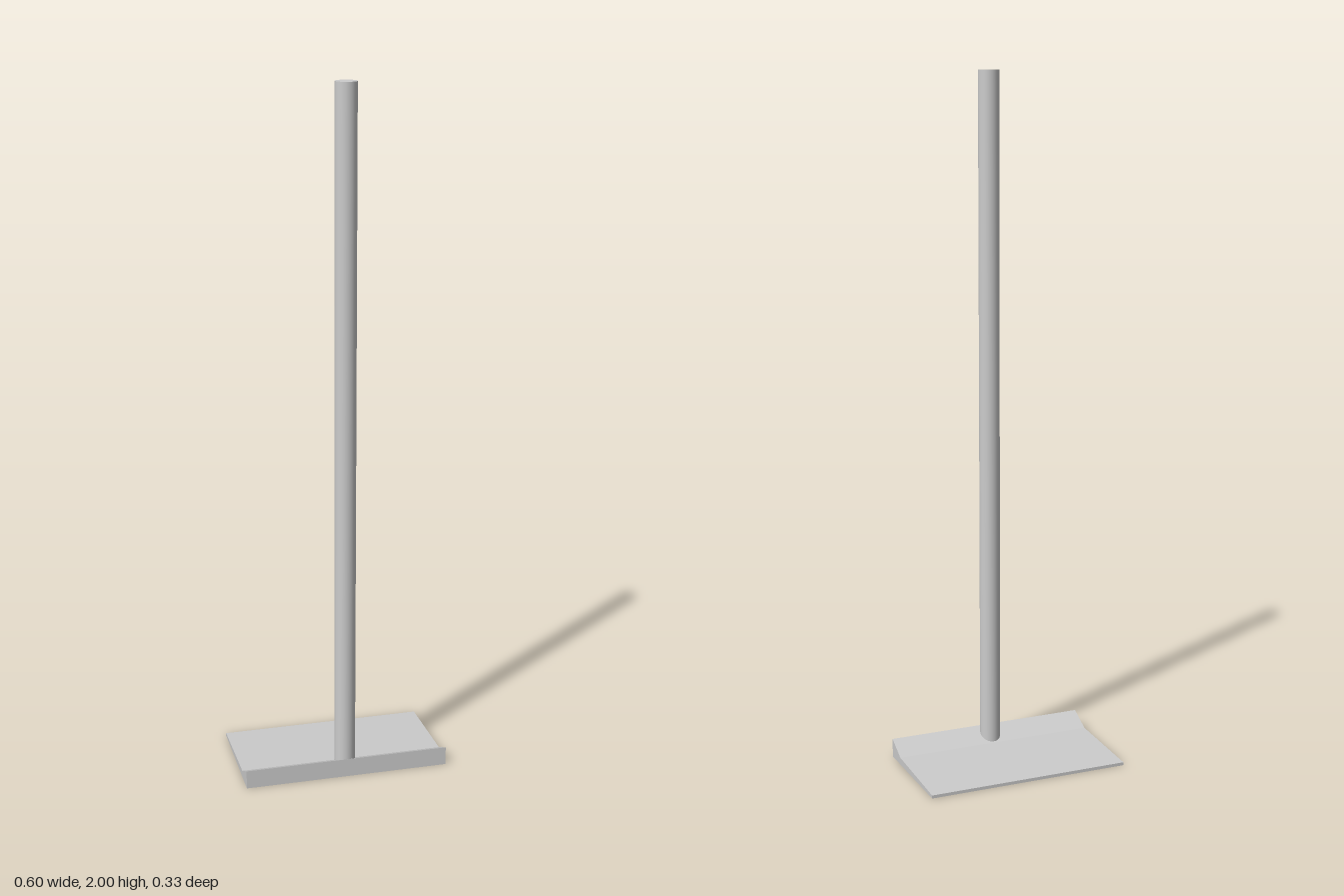
import * as THREE from 'three';

export function createModel() {
  const group = new THREE.Group();
  const grey = { color: 0xcccccc };

  // Wedge-shaped blade: side profile (z, y) extruded across the width
  const width = 0.6;
  const profile = new THREE.Shape([
    [0.165, 0], [0.165, 0.055], [0.098, 0.021], [-0.165, 0.009], [-0.165, 0],
  ].map(([z, y]) => new THREE.Vector2(z, y)));
  const bladeGeometry = new THREE.ExtrudeGeometry(profile, { depth: width, bevelEnabled: false });
  bladeGeometry.translate(0, 0, -width / 2).rotateY(-Math.PI / 2);
  const blade = new THREE.Mesh(bladeGeometry, new THREE.MeshStandardMaterial({ ...grey, flatShading: true }));
  blade.name = 'blade';
  group.add(blade);

  // Round upright handle, sunk into the raised lip of the blade
  const bottom = 0.01, top = 2;
  const handle = new THREE.Mesh(
    new THREE.CylinderGeometry(0.03, 0.03, top - bottom, 32),
    new THREE.MeshStandardMaterial(grey),
  );
  handle.name = 'handle';
  handle.position.set(0, (top + bottom) / 2, 0.132);
  group.add(handle);

  return group;
}
